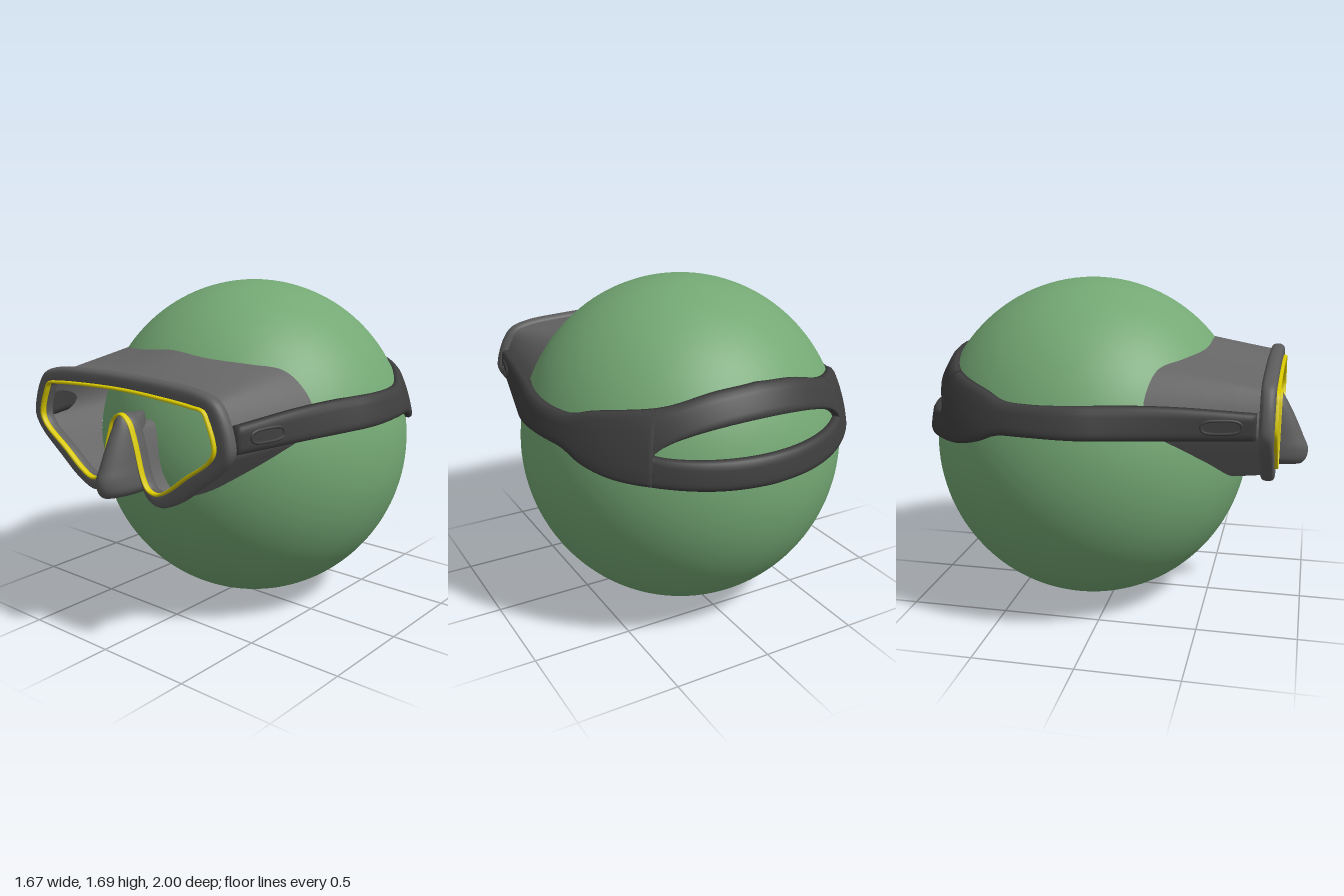
import * as THREE from 'three';

const HEAD = { y: 0.845, z: -0.137, rx: 0.827, ry: 0.843, rz: 0.828 };
const V = (x, y, z) => new THREE.Vector3(x, y, z);
const lerp = THREE.MathUtils.lerp;

// Skin a list of rings; optionally closed along the rings, around each ring, or capped
function loft(rings, { loop = false, around = true, caps = false } = {}) {
  const n = rings[0].length, m = rings.length;
  const points = rings.flat(), index = [];
  for (let i = 0; i < (loop ? m : m - 1); i++) {
    for (let j = 0; j < (around ? n : n - 1); j++) {
      const a = i * n, b = ((i + 1) % m) * n, k = (j + 1) % n;
      index.push(a + j, b + j, b + k, a + j, b + k, a + k);
    }
  }
  if (caps) {
    [0, m - 1].forEach((i) => {
      const c = points.length;
      points.push(rings[i].reduce((s, p) => s.add(p), V(0, 0, 0)).divideScalar(n));
      for (let j = 0; j < n; j++) {
        const a = i * n + j, b = i * n + (j + 1) % n;
        index.push(c, i ? b : a, i ? a : b);
      }
    });
  }
  const g = new THREE.BufferGeometry().setFromPoints(points);
  g.setIndex(index);
  g.computeVertexNormals();
  return g;
}

// Half outline from top centre to nose arch: rim outside x,y, lens edge x,y, face seal x,y
const OUTLINE = [
  [0, 1.32, 0, 1.245, 0, 1.39], [0.25, 1.315, 0.25, 1.237, 0.2, 1.37],
  [0.46, 1.30, 0.44, 1.224, 0.4, 1.35], [0.555, 1.27, 0.505, 1.215, 0.52, 1.325],
  [0.605, 1.21, 0.53, 1.17, 0.617, 1.235], [0.645, 1.10, 0.56, 1.09, 0.67, 1.13],
  [0.648, 1.04, 0.562, 1.05, 0.665, 1.04], [0.60, 0.965, 0.535, 1.005, 0.595, 0.96],
  [0.47, 0.86, 0.40, 0.91, 0.47, 0.86], [0.33, 0.76, 0.285, 0.825, 0.33, 0.77],
  [0.22, 0.72, 0.22, 0.795, 0.22, 0.735], [0.15, 0.745, 0.17, 0.805, 0.15, 0.76],
  [0.105, 0.83, 0.14, 0.845, 0.10, 0.84], [0.06, 1.0, 0.085, 1.03, 0.06, 1.0],
  [0.035, 1.06, 0.05, 1.11, 0.035, 1.06], [0, 1.075, 0, 1.14, 0, 1.075],
];
function outline(k) {
  const half = OUTLINE.map((r) => V(r[k], r[k + 1], 0));
  const mirror = half.slice(1, -1).reverse().map((p) => V(-p.x, p.y, 0));
  return new THREE.CatmullRomCurve3([...half, ...mirror], true).getPoints(240).slice(0, -1);
}

// Rounded ring between two fractions of the way from the lens edge to the rim outside
function ring(inner, outer, from, to, z, depth, sides) {
  const soft = (v) => Math.sign(v) * Math.abs(v) ** 0.75;
  return loft(inner.map((p, i) => Array.from({ length: sides }, (_, j) => {
    const t = (j / sides) * Math.PI * 2;
    const q = p.clone().lerp(outer[i], lerp(from, to, 0.5 + 0.5 * soft(Math.cos(t))));
    q.z = z - depth * soft(Math.sin(t));
    return q;
  })), { loop: true });
}

// Strap: s is degrees round the head from the back, then a straight run to the frame
const TANGENT = 102.5, END = 160, HOLE = 38;
function strapPoint(s, y, d) {
  const a = Math.min(Math.abs(s), TANGENT) * Math.PI / 180;
  const t = Math.max(0, (Math.abs(s) - TANGENT) / (END - TANGENT));
  const r = HEAD.rz * Math.sqrt(1 - ((y - HEAD.y) / HEAD.ry) ** 2) + d;
  const x = lerp(r * Math.sin(a), 0.605 + d, t);
  return V(x * Math.sign(s), y, lerp(HEAD.z - r * Math.cos(a), 0.765, t));
}

// Strap edges: s, lower y, upper y
const EDGES = new THREE.CatmullRomCurve3([
  [0, 0.905, 1.34], [18, 0.912, 1.32], [36, 0.93, 1.265], [52, 0.95, 1.237], [62, 0.985, 1.215],
  [70, 1.03, 1.185], [80, 1.04, 1.18], [102, 1.037, 1.186], [130, 1.035, 1.182], [END, 1.03, 1.155],
].map((p) => V(...p))).getPoints(90);
function edges(s) {
  const a = Math.abs(s);
  const i = Math.min(Math.max(1, EDGES.findIndex((p) => p.x >= a)), EDGES.length - 1);
  const p = EDGES[i - 1], q = EDGES[i];
  const k = THREE.MathUtils.clamp((a - p.x) / (q.x - p.x), 0, 1);
  return [lerp(p.y, q.y, k), lerp(p.z, q.z, k)];
}
function hole(s) {
  const c = Math.sqrt(Math.max(0, 1 - (s / HOLE) ** 2));
  return [1.07 - 0.025 * c, 1.07 + 0.13 * c ** 1.3, 0.025 * c];
}

// One strap section: rounded outer face from top to bottom, then the face against the head
function strapSection(s, lo, hi, bevelLo, bevelHi) {
  const pts = [[hi, -0.01], [hi, 0.018], [hi - bevelHi * 0.3, 0.03]];
  for (let i = 0; i <= 6; i++) pts.push([lerp(hi - bevelHi, lo + bevelLo, i / 6), 0.036]);
  pts.push([lo + bevelLo * 0.3, 0.03], [lo, 0.018], [lo, -0.01]);
  for (let i = 1; i < 5; i++) pts.push([lerp(lo, hi, i / 5), -0.01]);
  return pts.map(([y, d]) => strapPoint(s, y, d));
}
function strapBand(stations, section) {
  return loft(stations.map(section), { caps: true });
}

export function createModel() {
  const model = new THREE.Group();
  const rubber = new THREE.MeshStandardMaterial({ color: 0x5c5c5c });
  const skirtRubber = new THREE.MeshStandardMaterial({ color: 0x666666, side: THREE.DoubleSide });
  const strapRubber = new THREE.MeshStandardMaterial({ color: 0x3e3e3e });
  const yellow = new THREE.MeshStandardMaterial({ color: 0xd8c800 });
  const green = new THREE.MeshStandardMaterial({ color: 0x74a874 });
  const add = (name, geometry, material, parent = model) => {
    const mesh = new THREE.Mesh(geometry, material);
    mesh.name = name;
    parent.add(mesh);
    return mesh;
  };

  // Head
  const head = add('head', new THREE.SphereGeometry(1, 96, 64), green);
  head.scale.set(HEAD.rx, HEAD.ry, HEAD.rz);
  head.position.set(0, HEAD.y, HEAD.z);

  // Goggle rim and lens trim
  const outer = outline(0), inner = outline(2), seal = outline(4);
  add('rim', ring(inner, outer, 0, 1, 0.81, 0.036, 20), rubber);
  add('lensTrim', ring(inner, outer, -0.02, 0.18, 0.845, 0.016, 10), yellow);

  // Skirt from the rim back to the surface of the head
  add('skirt', loft(inner.map((p, i) => {
    const a = p.clone().lerp(outer[i], 0.6).setZ(0.8), b = seal[i].clone();
    const k = 1 - (b.x / HEAD.rx) ** 2 - ((b.y - HEAD.y) / HEAD.ry) ** 2;
    b.z = HEAD.z + HEAD.rz * Math.sqrt(k);
    return [0, 0.25, 0.5, 0.75, 1].map((t) => a.clone().lerp(b, t));
  }), { loop: true, around: false }), skirtRubber);

  // Nose pocket: height, half width, front z
  const noseProfile = new THREE.CatmullRomCurve3([
    [0.752, 0.03, 0.945], [0.76, 0.065, 0.975], [0.79, 0.088, 0.995], [0.84, 0.089, 1.0],
    [0.9, 0.081, 0.975], [1.0, 0.066, 0.93], [1.09, 0.047, 0.882], [1.12, 0.03, 0.862], [1.13, 0.012, 0.845],
  ].map((p) => V(...p))).getPoints(40);
  add('nosePocket', loft(noseProfile.map((p) => Array.from({ length: 32 }, (_, j) => {
    const t = (j / 32) * Math.PI * 2, c = Math.sin(t);
    return V(p.y * Math.cos(t), p.x, 0.8 + c * (c > 0 ? p.z - 0.8 : 0.1));
  })), { caps: true }), rubber);

  // Strap: two side runs and the split back
  const strap = new THREE.Group();
  strap.name = 'strap';
  model.add(strap);
  const sideStations = Array.from({ length: 81 }, (_, i) => lerp(HOLE, END, i / 80));
  const plain = (s) => strapSection(s, ...edges(s), 0.025, 0.025);
  add('leftStrap', strapBand(sideStations, plain), strapRubber, strap);
  add('rightStrap', strapBand(sideStations.map((s) => -s).reverse(), plain), strapRubber, strap);
  const backStations = Array.from({ length: 64 }, (_, i) => HOLE * Math.sin(lerp(-0.5, 0.5, i / 63) * Math.PI));
  add('upperBackStrap', strapBand(backStations, (s) => {
    const h = hole(s);
    return strapSection(s, h[1], edges(s)[1], h[2], 0.025);
  }), strapRubber, strap);
  add('lowerBackStrap', strapBand(backStations, (s) => {
    const h = hole(s);
    return strapSection(s, edges(s)[0], h[0], 0.025, h[2]);
  }), strapRubber, strap);

  // Raised oval loop on each strap end
  for (const side of [1, -1]) {
    const oval = Array.from({ length: 32 }, (_, i) => {
      const t = (i / 32) * Math.PI * 2, c = Math.cos(t), n = Math.sin(t);
      const s = 147.8 + 7.1 * Math.sign(c) * Math.abs(c) ** 0.6;
      return strapPoint(side * s, 1.1 + 0.03 * Math.sign(n) * Math.abs(n) ** 0.7, 0.037);
    });
    const path = new THREE.CatmullRomCurve3(oval, true);
    add(side > 0 ? 'leftStrapLoop' : 'rightStrapLoop',
      new THREE.TubeGeometry(path, 64, 0.007, 8, true), strapRubber, strap);
  }
  return model;
}
